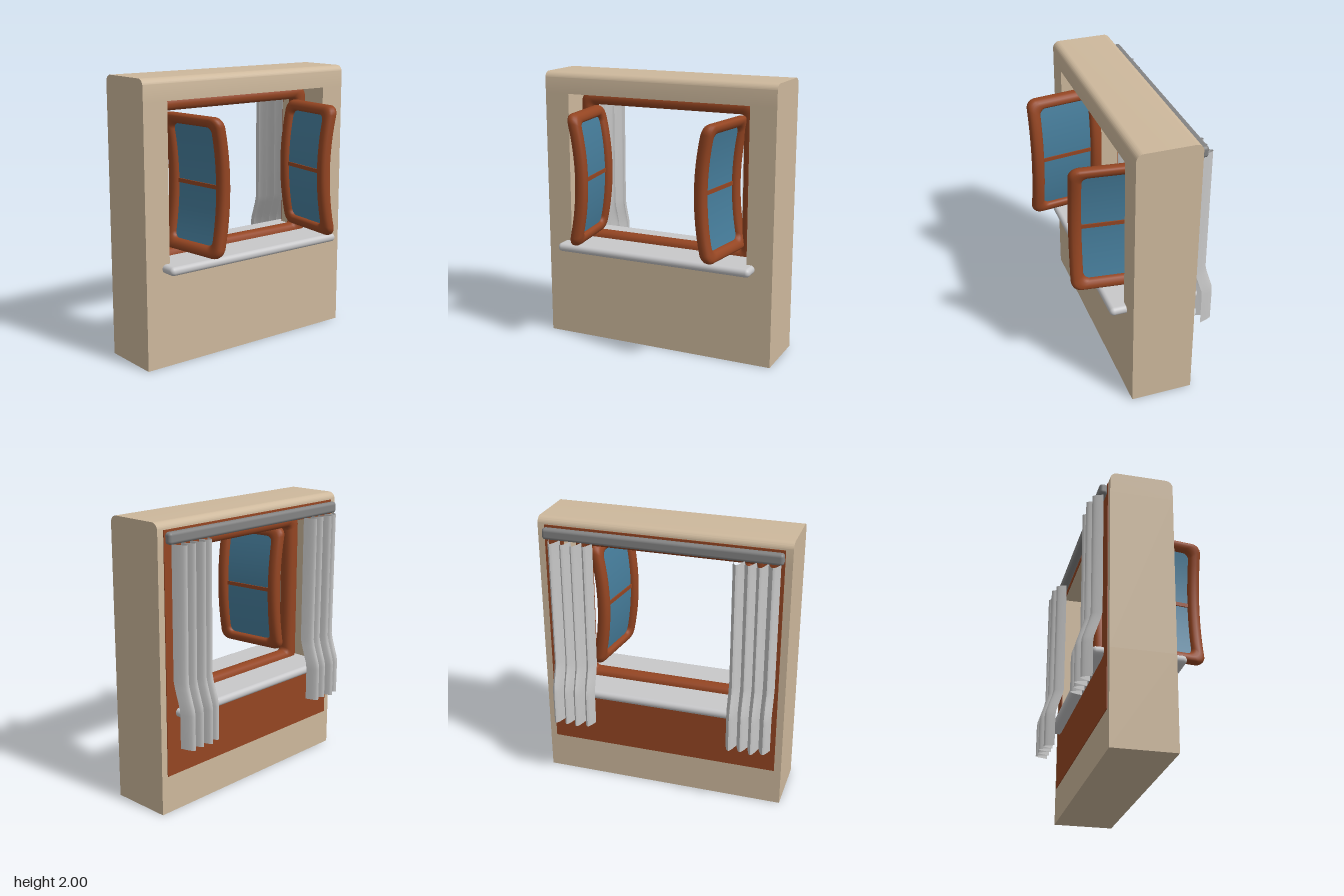
import * as THREE from 'three';
import { toCreasedNormals } from 'three/addons/utils/BufferGeometryUtils.js';
import { RoundedBoxGeometry } from 'three/addons/geometries/RoundedBoxGeometry.js';

const mat = (name, color, side = THREE.FrontSide) => {
  const m = new THREE.MeshStandardMaterial({ color, side });
  m.name = name;
  return m;
};

// Rounded rectangle as a counter-clockwise loop, with the sides subdivided
function roundedLoop(x0, x1, y0, y1, r, side = 12, arc = 6) {
  const corners = [[x1 - r, y0 + r, -1], [x1 - r, y1 - r, 0], [x0 + r, y1 - r, 1], [x0 + r, y0 + r, 2]];
  const pts = [];
  corners.forEach(([cx, cy, q], c) => {
    for (let i = 0; i <= arc; i++) {
      const a = (q + i / arc) * Math.PI / 2;
      pts.push(new THREE.Vector2(cx + r * Math.cos(a), cy + r * Math.sin(a)));
    }
    const last = pts[pts.length - 1];
    const [nx, ny, nq] = corners[(c + 1) % 4];
    const a = nq * Math.PI / 2;
    const next = new THREE.Vector2(nx + r * Math.cos(a), ny + r * Math.sin(a));
    for (let i = 1; i < side; i++) pts.push(last.clone().lerp(next, i / side));
  });
  return pts;
}

// Soft padded ring between an outer and an inner loop
function ringGeometry(outer, inner, half, sides = 16) {
  const pos = [], idx = [], n = outer.length;
  const soft = v => Math.sign(v) * Math.abs(v) ** 0.85;
  for (let i = 0; i < n; i++) {
    for (let j = 0; j < sides; j++) {
      const a = j / sides * Math.PI * 2;
      const p = outer[i].clone().lerp(inner[i], (1 - soft(Math.cos(a))) / 2);
      pos.push(p.x, p.y, half * soft(Math.sin(a)));
      const i2 = (i + 1) % n, j2 = (j + 1) % sides;
      const A = i * sides + j, B = i2 * sides + j, C = i2 * sides + j2, D = i * sides + j2;
      idx.push(A, B, C, A, C, D);
    }
  }
  const g = new THREE.BufferGeometry();
  g.setAttribute('position', new THREE.Float32BufferAttribute(pos, 3));
  g.setIndex(idx);
  g.computeVertexNormals();
  return g;
}

// Bows a geometry in z along its height
function bow(g, amount, cy, half) {
  const p = g.attributes.position;
  for (let i = 0; i < p.count; i++) {
    const t = (p.getY(i) - cy) / half;
    p.setZ(i, p.getZ(i) + amount * (1 - t * t));
  }
  g.computeVertexNormals();
  return g;
}

// Pleated curtain: one arch per pleat, kicked outwards above the sill
function curtainGeometry(xs, peaks) {
  const rows = [[1.86, 0], [0.95, 0], [0.9, 0.012], [0.83, 0.035], [0.77, 0.055], [0.73, 0.06], [0.49, 0.06]];
  const steps = 10, cols = peaks.length * steps + 1, pos = [], idx = [];
  rows.forEach(([y, out], r) => {
    for (let c = 0; c < cols; c++) {
      const k = Math.min(Math.floor(c / steps), peaks.length - 1);
      const t = c / steps - k;
      const x = THREE.MathUtils.lerp(xs[k], xs[k + 1], t);
      pos.push(x, y, -0.32 - out - peaks[k] * Math.sin(Math.PI * t));
      if (r && c) {
        const d = r * cols + c, b = d - cols;
        idx.push(b - 1, b, d, b - 1, d, d - 1);
      }
    }
  });
  const g = new THREE.BufferGeometry();
  g.setAttribute('position', new THREE.Float32BufferAttribute(pos, 3));
  g.setIndex(idx);
  return toCreasedNormals(g, 0.7);
}

export function createModel() {
  const root = new THREE.Group();
  root.name = 'windowWall';
  const plaster = mat('plaster', 0xcdb89c);
  const wood = mat('wood', 0x944522);
  const glass = mat('glass', 0x467d9b);
  const stone = mat('sillGrey', 0xc8c8ca);
  const cloth = mat('curtainGrey', 0xc6c6c6, THREE.DoubleSide);
  const metal = mat('railGrey', 0x838383);

  const add = (parent, name, geometry, material, x = 0, y = 0, z = 0) => {
    const m = new THREE.Mesh(geometry, material);
    m.name = name;
    m.position.set(x, y, z);
    parent.add(m);
    return m;
  };

  // Wall around the opening
  const W = 0.89, H = 0.7, Y0 = 0.67, Y1 = 1.845, ZB = -0.29, ZF = 0.155;
  const zm = (ZB + ZF) / 2, depth = ZF - ZB;
  add(root, 'wallBase', new THREE.BoxGeometry(2 * W, Y0, depth), plaster, 0, Y0 / 2, zm);
  for (const s of [-1, 1]) {
    add(root, s > 0 ? 'wallLeft' : 'wallRight', new THREE.BoxGeometry(W - H, Y1 - Y0, depth),
      plaster, s * (W + H) / 2, (Y0 + Y1) / 2, zm);
  }

  // Lintel with rounded top edges, profile drawn in z and y
  const r = 0.05, profile = new THREE.Shape();
  profile.moveTo(-ZF, Y1);
  profile.lineTo(-ZB, Y1);
  profile.lineTo(-ZB, 2 - r);
  profile.absarc(-ZB - r, 2 - r, r, 0, Math.PI / 2);
  profile.lineTo(-ZF + r, 2);
  profile.absarc(-ZF + r, 2 - r, r, Math.PI / 2, Math.PI);
  const lintel = new THREE.ExtrudeGeometry(profile, { depth: 2 * W, bevelEnabled: false, curveSegments: 8 });
  lintel.translate(0, 0, -W).rotateY(Math.PI / 2);
  add(root, 'wallLintel', toCreasedNormals(lintel, 0.5), plaster);

  // Wooden panel on the back face
  const rect = (C, x, y0, y1) => new C([[-x, y0], [x, y0], [x, y1], [-x, y1]].map(p => new THREE.Vector2(...p)));
  const panel = rect(THREE.Shape, 0.84, 0.27, 1.95);
  panel.holes.push(rect(THREE.Path, H, Y0, Y1));
  add(root, 'backPanel', new THREE.ExtrudeGeometry(panel, { depth: 0.005, bevelEnabled: false }), wood, 0, 0, ZB - 0.005);

  // Fixed window frame
  add(root, 'windowFrame', ringGeometry(
    roundedLoop(-H, H, Y0, Y1, 0.07), roundedLoop(-0.587, 0.587, 0.787, 1.75, 0.025), 0.058), wood, 0, 0, zm);

  // Sill running through the wall
  add(root, 'sill', new RoundedBoxGeometry(1.52, 0.062, 0.645, 4, 0.03), stone, 0, 0.708, -0.052);

  // Two bowed casements, swung open to the front
  const len = 0.56, b0 = 0.795, b1 = 1.75, cy = (b0 + b1) / 2, half = (b1 - b0) / 2;
  for (const s of [-1, 1]) {
    const sash = new THREE.Group();
    sash.name = s > 0 ? 'leftCasement' : 'rightCasement';
    sash.position.set(s > 0 ? 0.588 : -0.57, 0, -0.08);
    sash.rotation.y = -Math.PI / 2 - s * 0.12;
    const bend = g => bow(g, s * 0.062, cy, half);
    add(sash, 'casementFrame', bend(ringGeometry(
      roundedLoop(0, len, b0, b1, 0.065), roundedLoop(0.09, len - 0.09, b0 + 0.078, b1 - 0.075, 0.045), 0.044)), wood);
    add(sash, 'pane', bend(new THREE.BoxGeometry(len - 0.14, b1 - b0 - 0.12, 0.012, 1, 16, 1)
      .translate(len / 2, cy, 0)), glass);
    add(sash, 'glazingBar', bend(new THREE.BoxGeometry(len - 0.14, 0.028, 0.03)
      .translate(len / 2, cy, 0)), wood);
    root.add(sash);
  }

  // Curtain rail and curtains at the back
  add(root, 'curtainRail', new RoundedBoxGeometry(1.68, 0.08, 0.057, 4, 0.022), metal, 0, 1.9, -0.3235);
  add(root, 'rightCurtain', curtainGeometry(
    [-0.82, -0.738, -0.66, -0.58, -0.5], [0.07, 0.095, 0.08, 0.088]), cloth);
  add(root, 'leftCurtain', curtainGeometry(
    [0.48, 0.557, 0.637, 0.715, 0.8], [0.075, 0.098, 0.09, 0.095]), cloth);

  return root;
}
